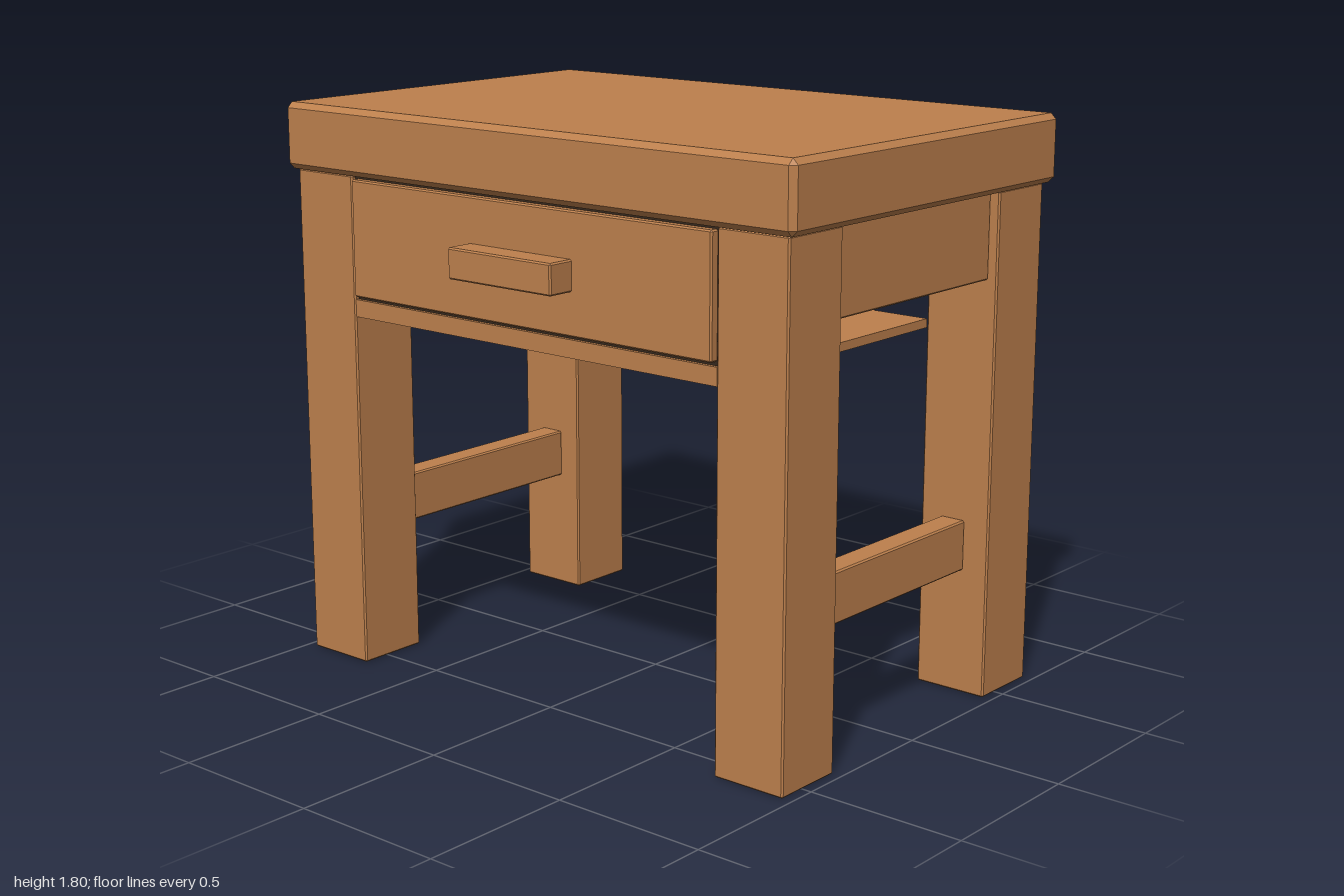
import * as THREE from 'three';
import { ConvexGeometry } from 'three/addons/geometries/ConvexGeometry.js';

const wood = new THREE.MeshStandardMaterial({ color: 0xbd804d });
wood.name = 'warm wood';
const shadowWood = new THREE.MeshStandardMaterial({ color: 0x35271c });
shadowWood.name = 'dark recess';

// Box with chamfered edges, given by its [min, max] range on each axis
function chamferBox(name, xr, yr, zr, c = 0.005, material = wood) {
  const size = [xr, yr, zr].map(([a, b]) => b - a);
  const mid = [xr, yr, zr].map(([a, b]) => (a + b) / 2);
  const points = [];
  for (const sx of [-1, 1]) for (const sy of [-1, 1]) for (const sz of [-1, 1]) {
    const s = [sx, sy, sz];
    for (let face = 0; face < 3; face++) {
      const p = s.map((v, i) => v * (size[i] / 2 - (i === face ? 0 : c)));
      points.push(new THREE.Vector3(...p));
    }
  }
  const mesh = new THREE.Mesh(new ConvexGeometry(points), material);
  mesh.name = name;
  mesh.position.set(...mid);
  return mesh;
}

function plainBox(name, xr, yr, zr, material = wood) {
  const mesh = new THREE.Mesh(
    new THREE.BoxGeometry(xr[1] - xr[0], yr[1] - yr[0], zr[1] - zr[0]), material);
  mesh.name = name;
  mesh.position.set((xr[0] + xr[1]) / 2, (yr[0] + yr[1]) / 2, (zr[0] + zr[1]) / 2);
  return mesh;
}

export function createModel() {
  const table = new THREE.Group();
  table.name = 'bedsideTable';

  // Thick chamfered top
  table.add(chamferBox('tableTop', [-1, 1], [1.59, 1.8], [-0.7, 0.62], 0.018));

  // Legs, side aprons and low stretchers, mirrored left and right
  for (const [side, s] of [['left', 1], ['right', -1]]) {
    const span = (a, b) => (s > 0 ? [a, b] : [-b, -a]);
    table.add(
      chamferBox(side + 'FrontLeg', span(0.725, 0.97), [0, 1.59], [0.355, 0.595]),
      chamferBox(side + 'BackLeg', span(0.725, 0.97), [0, 1.59], [-0.67, -0.43]),
      chamferBox(side + 'Apron', span(0.87, 0.94), [1.32, 1.587], [-0.43, 0.355]),
      chamferBox(side + 'Stretcher', span(0.8, 0.885), [0.4, 0.56], [-0.43, 0.355]),
    );
  }

  // Back apron, shelf and front rail under the drawer
  table.add(
    chamferBox('backApron', [-0.725, 0.725], [1.32, 1.587], [-0.62, -0.55]),
    plainBox('shelf', [-0.725, 0.725], [1.145, 1.173], [-0.43, 0.55]),
    plainBox('frontRail', [-0.725, 0.725], [1.145, 1.2], [0.53, 0.592]),
  );

  // Drawer front in front of a dark recess, with its bar handle
  const drawer = new THREE.Group();
  drawer.name = 'drawer';
  drawer.add(
    plainBox('drawerRecess', [-0.725, 0.725], [1.174, 1.589], [0.53, 0.58], shadowWood),
    chamferBox('drawerFront', [-0.715, 0.715], [1.212, 1.58], [0.575, 0.607]),
    chamferBox('drawerHandle', [-0.205, 0.205], [1.345, 1.44], [0.605, 0.7]),
  );
  table.add(drawer);
  return table;
}
